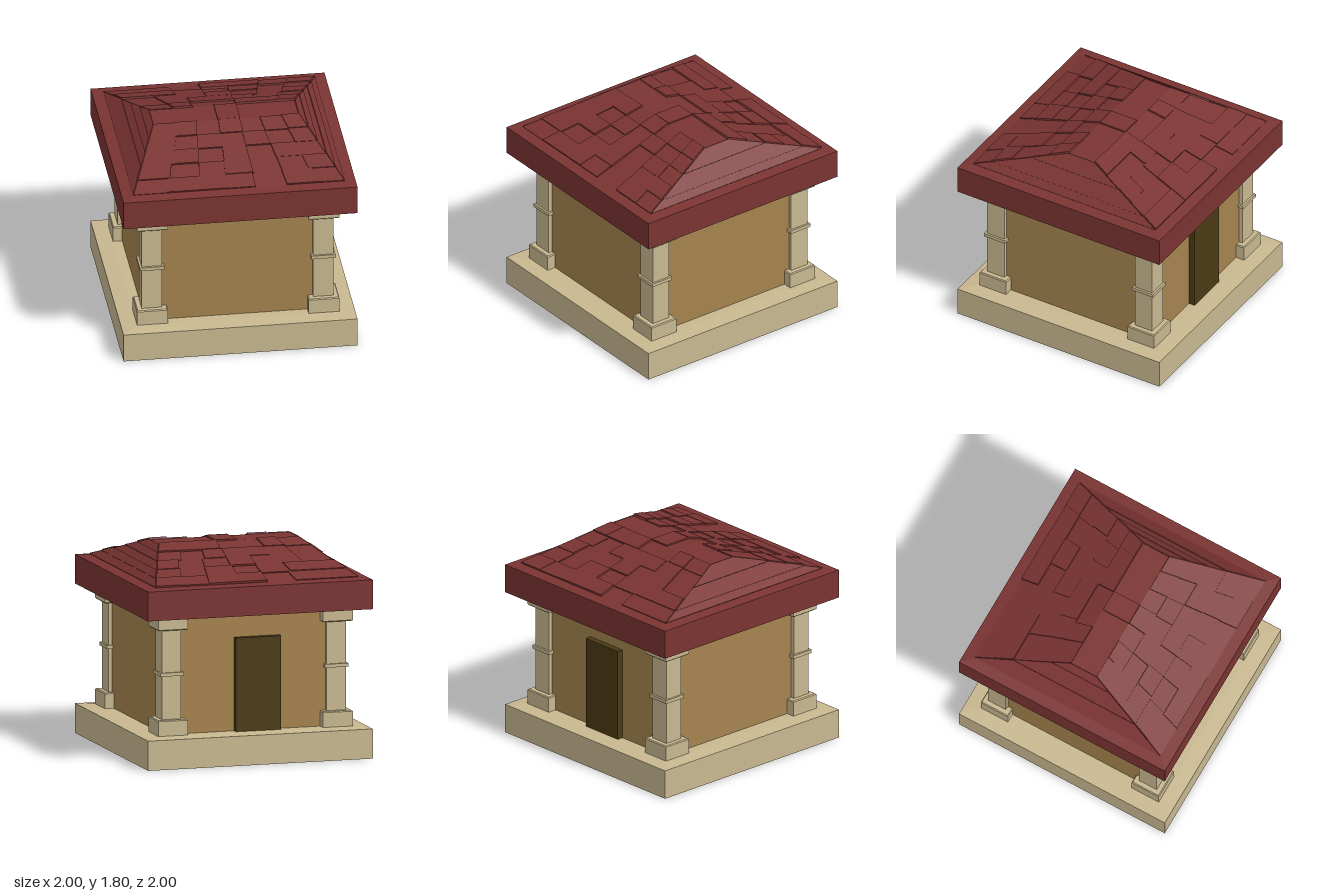
import * as THREE from 'three';

const mat = (color) => new THREE.MeshStandardMaterial({ color, flatShading: true });
const lerp = THREE.MathUtils.lerp;

export function createModel() {
  const model = new THREE.Group();
  const stone = mat(0xc8b890), plaster = mat(0xa5834e), wood = mat(0x4a3a14), red = mat(0x7a3432);

  const add = (parent, name, geometry, material) => {
    const mesh = new THREE.Mesh(geometry, material);
    mesh.name = name;
    parent.add(mesh);
    return mesh;
  };

  // Unit box whose corners are moved by a rule
  const shaped = (rule) => {
    const g = new THREE.BoxGeometry(1, 1, 1);
    const p = g.attributes.position;
    for (let i = 0; i < p.count; i++) p.setXYZ(i, ...rule(p.getX(i), p.getY(i), p.getZ(i)));
    g.computeVertexNormals();
    return g;
  };
  // Block with half sizes x0, z0 at y0 and x1, z1 at y1
  const block = (x0, z0, y0, x1, z1, y1) => shaped((x, y, z) => y < 0
    ? [2 * x * x0, y0, 2 * z * z0]
    : [2 * x * x1, y1, 2 * z * z1]);

  // Plinth with a shallow sloped top
  add(model, 'plinth', block(1, 1, 0, 1, 1, 0.255), stone);
  add(model, 'plinthTop', block(1, 1, 0.255, 0.87, 0.87, 0.265), stone);

  // Walls and back door
  add(model, 'walls', block(0.785, 0.785, 0.26, 0.785, 0.785, 1.29), plaster);
  const door = add(model, 'door', new THREE.BoxGeometry(0.4, 0.81, 0.08), wood);
  door.position.set(-0.035, 0.665, -0.8);

  // Corner pillars: y and half width at the bottom and top of each piece
  const pillarParts = [
    ['base', 0.26, 0.132, 0.392, 0.132],
    ['baseBevel', 0.392, 0.132, 0.4, 0.124],
    ['shaft', 0.4, 0.086, 1.17, 0.086],
    ['band', 0.772, 0.104, 0.802, 0.104],
    ['capitalBevel', 1.168, 0.124, 1.176, 0.132],
    ['capital', 1.176, 0.132, 1.29, 0.132],
  ];
  for (const sx of [-1, 1]) for (const sz of [-1, 1]) {
    const pillar = new THREE.Group();
    pillar.name = 'pillar';
    pillar.position.set(sx * 0.733, 0, sz * 0.733);
    for (const [name, y0, w0, y1, w1] of pillarParts) add(pillar, name, block(w0, w0, y0, w1, w1, y1), stone);
    model.add(pillar);
  }

  // Roof body: fascia, eave slope and hipped top
  const roof = new THREE.Group();
  roof.name = 'roof';
  model.add(roof);
  const ridgeX = 0.62, ridgeZ = 0.125, eave = 0.9, ridgeY = 1.782, eaveY = 1.548;
  add(roof, 'fascia', block(1, 1, 1.283, 1, 1, 1.535), red);
  add(roof, 'eaveSlope', block(1, 1, 1.535, eave, eave, eaveY), red);
  add(roof, 'hippedTop', block(eave, eave, eaveY, ridgeX, ridgeZ, ridgeY), red);
  const ridgeTile = add(roof, 'ridgeTile', new THREE.BoxGeometry(0.19, 0.02, 0.25), red);
  ridgeTile.position.set(0.025, 1.785, 0);

  // One raised tile on a slope: course 0 is at the ridge, 4 at the eave;
  // a and b are its ends measured along the middle of the course
  const addTile = (slope, across, depth, course, a, b, h) => {
    const mid = lerp(across, eave, (course + 0.5) / 5);
    const run = eave - depth, drop = ridgeY - eaveY, len = Math.hypot(run, drop);
    const g = shaped((x, y, z) => {
      const t = (course + z + 0.5) / 5;
      const u = (x < 0 ? a : b) / mid;
      const lift = y < 0 ? -0.01 : h;
      return [
        u * lerp(across, eave, t),
        lerp(ridgeY, eaveY, t) + lift * run / len,
        lerp(depth, eave, t) + lift * drop / len,
      ];
    });
    add(slope, 'roofTile', g, red);
  };
  const addSlope = (name, angle, across, depth, courses) => {
    const slope = new THREE.Group();
    slope.name = name;
    slope.rotation.y = angle;
    courses.forEach((tiles, c) => tiles.forEach(([a, b, h]) => addTile(slope, across, depth, c, a, b, h)));
    roof.add(slope);
  };

  addSlope('frontTiles', 0, ridgeX, ridgeZ, [
    [[-0.648, -0.44, 0.008], [-0.44, -0.26, 0.014], [-0.07, 0.12, 0.015], [0.3, 0.49, 0.01], [0.49, 0.648, 0.02]],
    [[-0.704, -0.47, 0.008], [-0.28, -0.07, 0.012], [-0.07, 0.12, 0.005], [0.12, 0.32, 0.014], [0.53, 0.704, 0.012]],
    [[-0.76, -0.49, 0.012], [-0.49, -0.29, 0.017], [-0.08, 0.13, 0.012], [0.35, 0.57, 0.015], [0.57, 0.76, 0.008]],
    [[-0.816, -0.55, 0.016], [-0.31, -0.09, 0.01], [-0.09, 0.14, 0.017], [0.38, 0.6, 0.012], [0.6, 0.816, 0.018]],
    [[-0.872, -0.6, 0.005], [-0.6, -0.09, 0.014], [-0.09, 0.14, 0.01], [0.4, 0.67, 0.015], [0.67, 0.872, 0.01]],
  ]);
  // Turned half round, so +x here lies on the other side of the model
  addSlope('backTiles', Math.PI, ridgeX, ridgeZ, [
    [[-0.648, -0.49, 0.02], [-0.49, -0.12, 0.017], [0.26, 0.43, 0.016], [0.43, 0.648, 0.006]],
    [[-0.704, -0.5, 0.006], [-0.3, -0.12, 0.012], [-0.12, 0.25, 0.015], [0.25, 0.46, 0.01]],
    [[-0.76, -0.57, 0.014], [-0.35, -0.13, 0.006], [-0.13, 0.09, 0.016], [0.09, 0.5, 0.01]],
    [[-0.816, -0.6, 0.008], [-0.38, -0.13, 0.015], [0.09, 0.34, 0.01], [0.34, 0.816, 0.016]],
    [[-0.872, -0.65, 0.018], [-0.65, -0.41, 0.014], [-0.41, 0.09, 0.02], [0.34, 0.872, 0.008]],
  ]);
  // Side slopes carry full-width courses
  const heights = [0.008, 0.013, 0.006, 0.013, 0.009];
  const bands = heights.map((h, c) => {
    const w = lerp(ridgeZ, eave, (c + 0.5) / 5);
    return [[-w, w, h]];
  });
  addSlope('leftTiles', Math.PI / 2, ridgeZ, ridgeX, bands);
  addSlope('rightTiles', -Math.PI / 2, ridgeZ, ridgeX, bands);

  return model;
}
